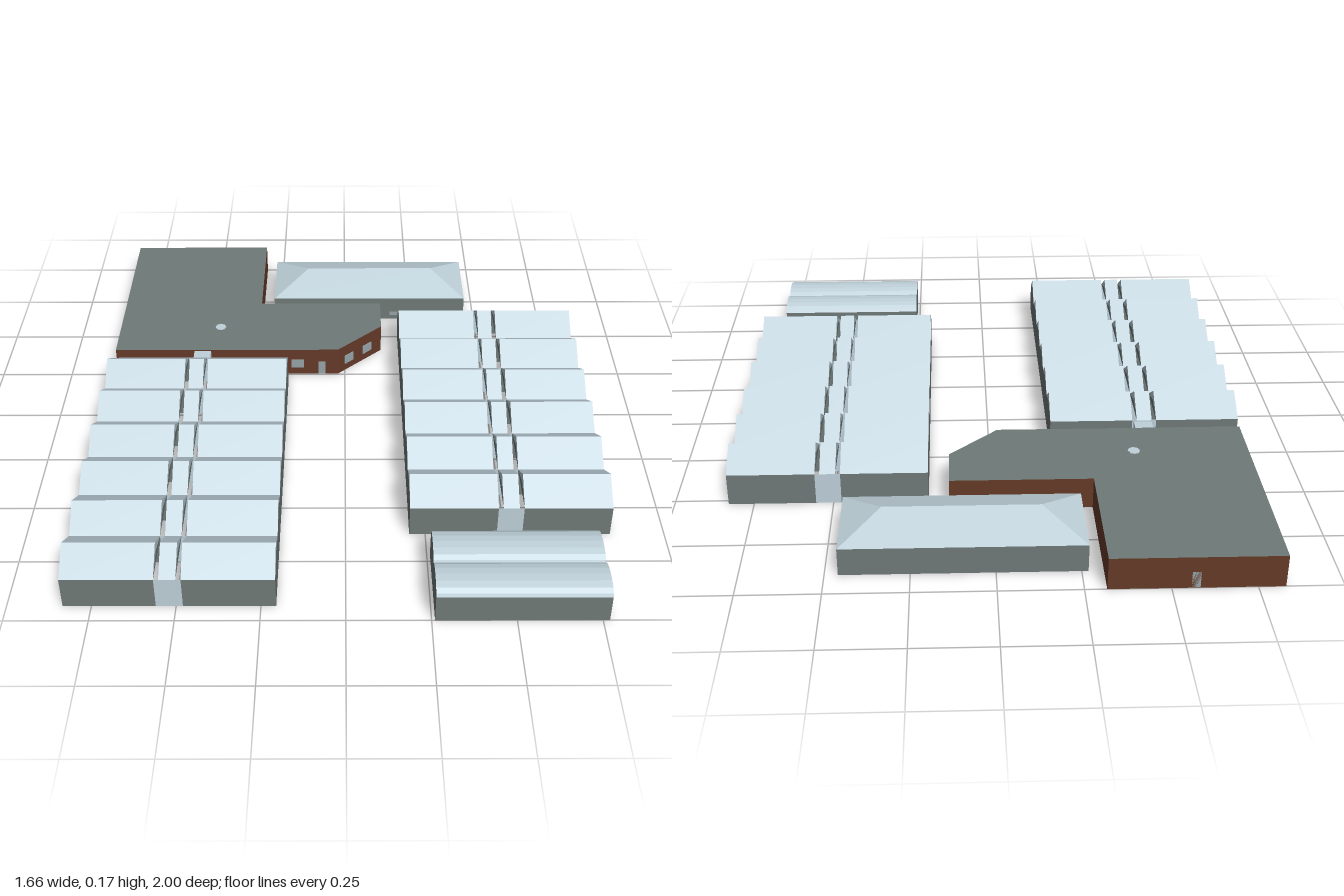
import * as THREE from 'three';

const mat = (name, color) => {
  const m = new THREE.MeshStandardMaterial({ color, side: THREE.DoubleSide, flatShading: true });
  m.name = name;
  return m;
};

export function createModel() {
  const glass = mat('pale glass', 0xbfd1da);
  const grey = mat('grey wall', 0x6f7a77);
  const brown = mat('brown brick', 0x653a28);
  const pane = mat('window pane', 0x98a5aa);
  const model = new THREE.Group();

  const group = (name) => {
    const g = new THREE.Group();
    g.name = name;
    model.add(g);
    return g;
  };
  const add = (parent, name, geometry, material) => {
    const mesh = new THREE.Mesh(geometry, material);
    mesh.name = name;
    parent.add(mesh);
    return mesh;
  };
  // Flat convex face from its corners
  const face = (parent, name, material, ...pts) => {
    const pos = [];
    for (let i = 1; i < pts.length - 1; i++) pos.push(...pts[0], ...pts[i], ...pts[i + 1]);
    const g = new THREE.BufferGeometry();
    g.setAttribute('position', new THREE.Float32BufferAttribute(pos, 3));
    g.computeVertexNormals();
    return add(parent, name, g, material);
  };
  // Upright wall from (x0,z0) to (x1,z1), outside on the right of travel
  const wall = (parent, name, material, [x0, z0], [x1, z1], h) =>
    face(parent, name, material, [x0, 0, z0], [x1, 0, z1], [x1, h, z1], [x0, h, z0]);

  // Ridge-and-furrow greenhouse: six bays with two open slots along the central aisle
  function greenhouse(name, cx, zBack) {
    const g = group(name);
    const half = 0.315, bays = 6, pitch = 1.145 / bays;
    const eave = 0.105, low = 0.132, ridge = 0.165;
    const spans = [[-half, -0.04], [-0.025, 0.025], [0.04, half]];

    // cross walls with a glazed aisle section
    for (let i = 0; i <= bays; i++) {
      const z = zBack + i * pitch;
      const cuts = [-half, -0.04, 0.04, half];
      for (let k = 0; k < 3; k++) {
        wall(g, k === 1 ? 'aisleGlazing' : 'crossWall', k === 1 ? glass : grey,
          [cx + cuts[k], z], [cx + cuts[k + 1], z], eave);
      }
    }
    for (let i = 0; i < bays; i++) {
      const z0 = zBack + i * pitch, z1 = z0 + pitch, zm = (z0 + z1) / 2;
      // roof slopes
      for (const [a, b] of spans) {
        const x0 = cx + a, x1 = cx + b;
        face(g, 'frontRoofSlope', glass, [x0, eave, z1], [x1, eave, z1], [x1, ridge, zm], [x0, ridge, zm]);
        face(g, 'backRoofSlope', glass, [x1, eave, z0], [x0, eave, z0], [x0, ridge, zm], [x1, ridge, zm]);
        // gables: solid lower part, glazed strip under the roof
        for (const [x, s] of [[x0, -1], [x1, 1]]) {
          const [p, q] = s > 0 ? [z1, z0] : [z0, z1];
          face(g, 'gable', grey, [x, eave, p], [x, eave, q], [x, low, zm]);
          face(g, 'gableGlazing', glass, [x, eave, p], [x, low, zm], [x, ridge, zm]);
          face(g, 'gableGlazing', glass, [x, low, zm], [x, eave, q], [x, ridge, zm]);
        }
      }
      // side walls
      wall(g, 'sideWall', grey, [cx + half, z1], [cx + half, z0], eave);
      wall(g, 'sideWall', grey, [cx - half, z0], [cx - half, z1], eave);
    }
  }
  greenhouse('rightGreenhouse', -0.52, -0.205);
  greenhouse('leftGreenhouse', 0.515, -0.52);

  // Glazed link between greenhouse and main building
  const link = add(group('linkPassage'), 'link', new THREE.BoxGeometry(0.06, 0.1, 0.05), glass);
  link.position.set(-0.515, 0.05, -0.23);

  // Main L-shaped building, open underneath
  const main = group('mainBuilding');
  const H = 0.105;
  const plan = [[-0.83, -0.255], [-0.025, -0.255], [0.135, -0.41], [0.135, -0.57],
    [-0.315, -0.57], [-0.315, -1], [-0.83, -1]];
  plan.forEach((p, i) => wall(main, 'brickWall', brown, p, plan[(i + 1) % plan.length], H));
  const roofShape = new THREE.Shape(plan.map(([x, z]) => new THREE.Vector2(x, -z)));
  const roof = add(main, 'flatRoof', new THREE.ShapeGeometry(roofShape).rotateX(-Math.PI / 2), grey);
  roof.position.y = H;
  const skylight = add(main, 'skylight', new THREE.CylinderGeometry(0.02, 0.02, 0.006, 8), glass);
  skylight.position.set(-0.46, H, -0.405);

  // Windows and doors as thin plates through the wall
  const opening = (parent, name, x, z, w, y0, y1, turn = 0) => {
    const m = add(parent, name, new THREE.BoxGeometry(w, y1 - y0, 0.006), pane);
    m.position.set(x, (y0 + y1) / 2, z);
    m.rotation.y = turn;
  };
  opening(main, 'frontWindow', -0.172, -0.255, 0.045, 0.028, 0.062);
  opening(main, 'frontDoor', -0.083, -0.255, 0.026, 0.002, 0.054);
  const slope = -0.155 / 0.16;
  for (const x of [0.015, 0.081]) {
    opening(main, 'cornerWindow', x, -0.255 + (x + 0.025) * slope, 0.044, 0.028, 0.062, Math.atan(-slope));
  }
  opening(main, 'backDoor', -0.57, -1 + 0.003, 0.026, 0.002, 0.054);

  // Hipped-roof house
  const hip = group('hippedHouse');
  const [a, b, c, d] = [[-0.27, -0.63], [0.46, -0.63], [0.46, -0.91], [-0.27, -0.91]];
  const e = 0.09;
  [[a, b], [b, c], [c, d], [d, a]].forEach(([p, q]) => wall(hip, 'houseWall', grey, p, q, e));
  const up = ([x, z]) => [x, e, z];
  const r0 = [-0.14, 0.143, -0.77], r1 = [0.335, 0.143, -0.77];
  face(hip, 'frontRoof', glass, up(a), up(b), r1, r0);
  face(hip, 'leftHip', glass, up(b), up(c), r1);
  face(hip, 'backRoof', glass, up(c), up(d), r0, r1);
  face(hip, 'rightHip', glass, up(d), up(a), r0);
  opening(hip, 'houseVent', 0.19, -0.63, 0.03, 0.016, 0.032);

  // Twin-arched tunnel house
  const tunnel = group('tunnelHouse');
  const tx0 = 0.26, tx1 = 0.77, base = 0.092, n = 8;
  wall(tunnel, 'frontWall', grey, [tx0, 1], [tx1, 1], base);
  wall(tunnel, 'backWall', grey, [tx1, 0.72], [tx0, 0.72], base);
  for (const zc of [0.79, 0.93]) {
    const arc = [];
    for (let i = 0; i <= n; i++) {
      const t = (i / n) * Math.PI;
      arc.push([base + 0.028 * Math.sin(t), zc + 0.07 * Math.cos(t)]);
    }
    for (let i = 0; i < n; i++) {
      const [y0, z0] = arc[i], [y1, z1] = arc[i + 1];
      face(tunnel, 'archedRoof', glass, [tx0, y0, z0], [tx1, y0, z0], [tx1, y1, z1], [tx0, y1, z1]);
    }
    const end = (x, pts) => face(tunnel, 'endWall', grey, ...pts.map(([y, z]) => [x, y, z]));
    const outline = [[0, zc + 0.07], [0, zc - 0.07], ...arc.slice().reverse()];
    end(tx1, outline);
    end(tx0, outline.slice().reverse());
  }
  return model;
}
